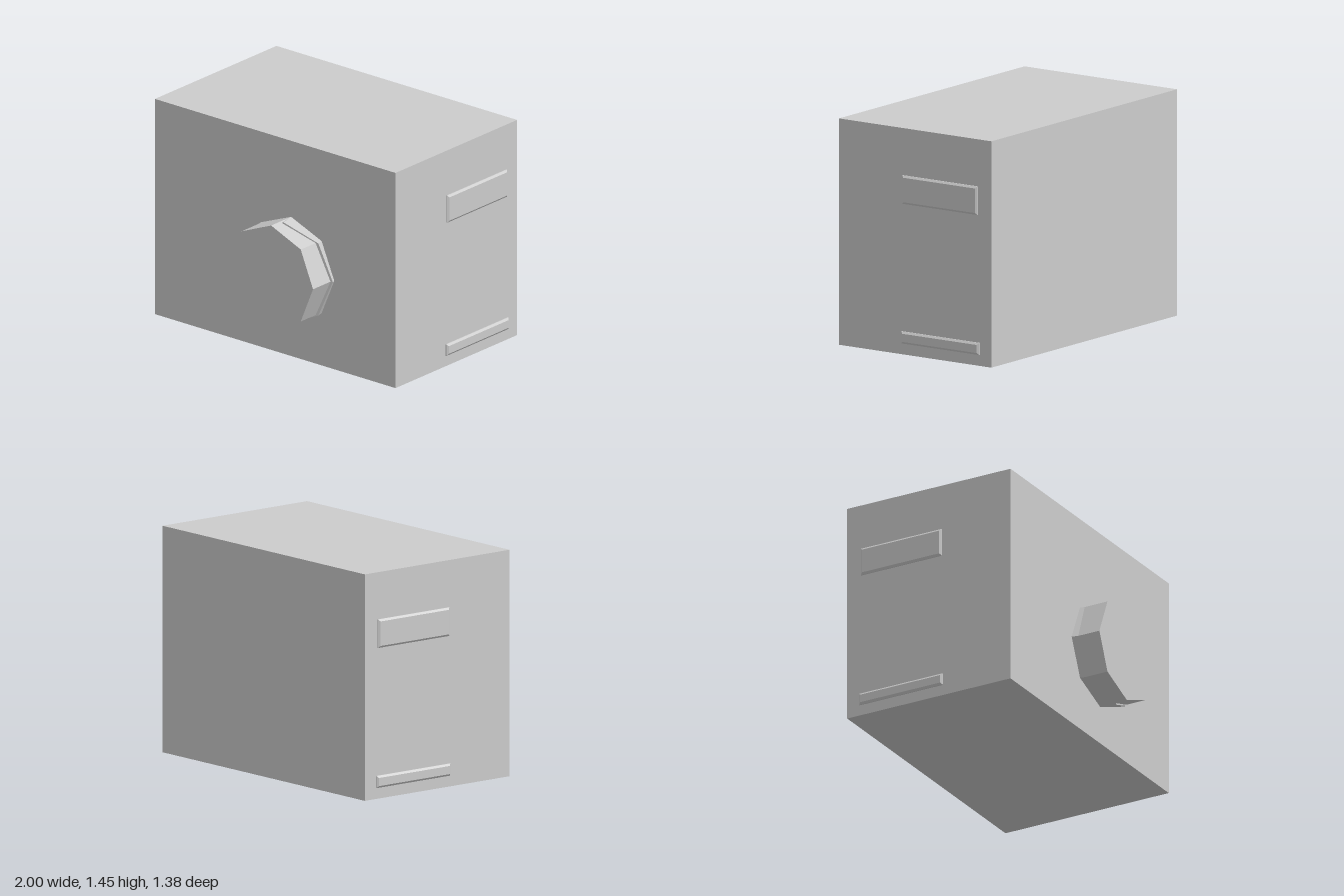
import * as THREE from 'three';

export function createModel() {
  const model = new THREE.Group();
  const grey = new THREE.MeshStandardMaterial({ color: 0xcccccc, flatShading: true });
  grey.name = 'plain grey';

  const add = (name, geometry, x, y, z, turn = 0) => {
    const mesh = new THREE.Mesh(geometry, grey);
    mesh.name = name;
    mesh.position.set(x, y, z);
    mesh.rotation.y = turn;
    model.add(mesh);
    return mesh;
  };

  // main block
  add('body', new THREE.BoxGeometry(1.97, 1.45, 1.185), 0, 0.725, -0.0975);

  // eight-sided boss on the front, and a second one tilted towards +x behind it
  const octagon = (depth) => new THREE.CylinderGeometry(0.343, 0.343, depth, 8).rotateX(Math.PI / 2);
  add('frontBoss', octagon(0.22), 0.13, 0.595, 0.58);
  const tilt = Math.atan(0.25), half = 0.1;
  add('tiltedCollar', octagon(half * 2),
    0.156 - Math.sin(tilt) * half, 0.595, 0.599 - Math.cos(tilt) * half, tilt);

  // raised plates with chamfered rims, mirrored on both sides
  const bevel = 0.013, rise = 0.01, depth = 0.02;
  const plate = (width, height) => {
    const w = width / 2 - bevel, h = height / 2 - bevel;
    const shape = new THREE.Shape([
      new THREE.Vector2(-w, -h), new THREE.Vector2(w, -h),
      new THREE.Vector2(w, h), new THREE.Vector2(-w, h),
    ]);
    return new THREE.ExtrudeGeometry(shape, {
      depth, bevelEnabled: true, bevelSize: bevel, bevelThickness: rise, bevelSegments: 1,
    });
  };
  for (const [side, s] of [['left', 1], ['right', -1]]) {
    const x = s * (1 - rise - depth);
    add(side + 'UpperPlate', plate(0.585, 0.183), x, 1.057, -0.294, s * Math.PI / 2);
    add(side + 'LowerPlate', plate(0.606, 0.078), x, 0.109, -0.297, s * Math.PI / 2);
  }

  return model;
}
